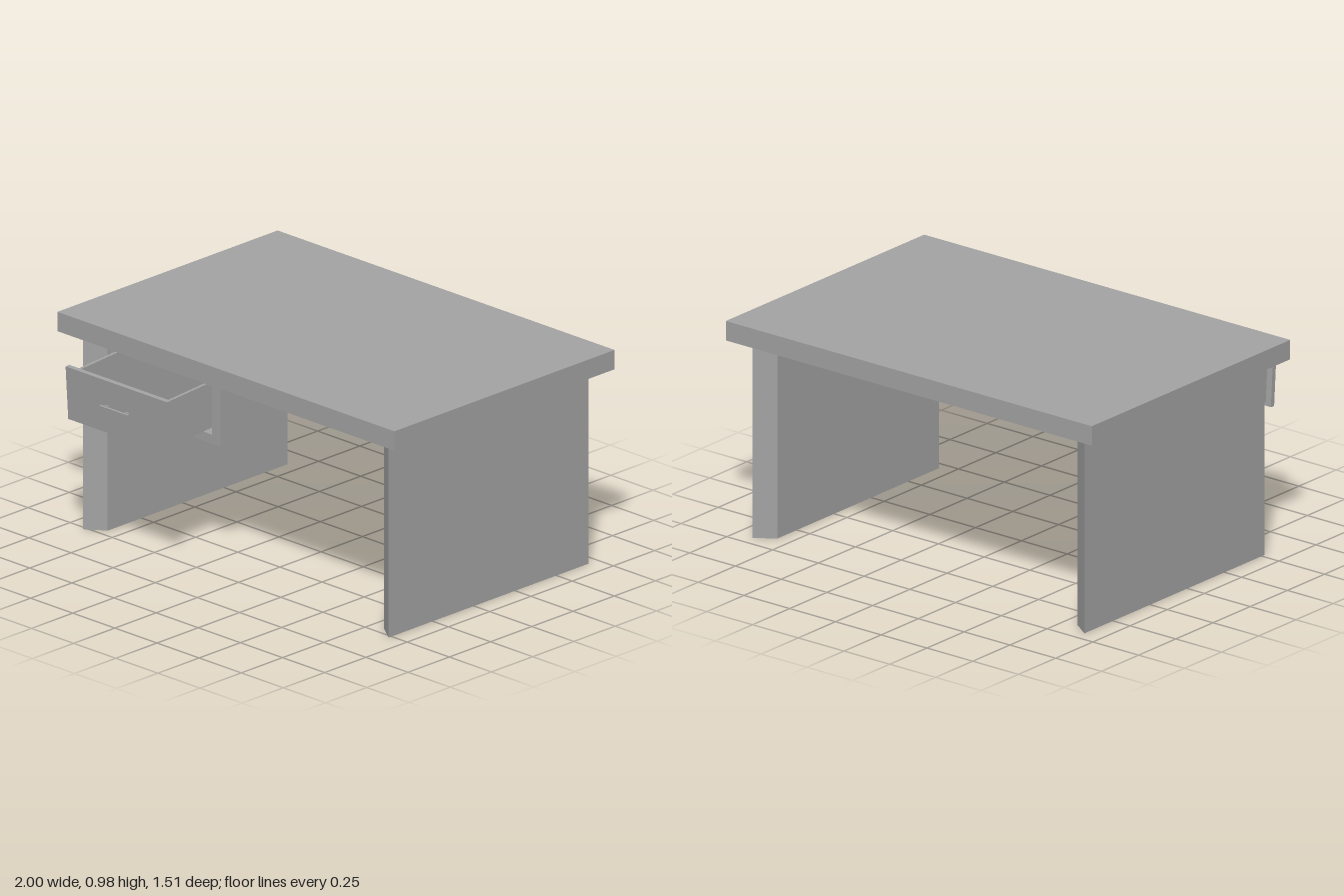
import * as THREE from 'three';

const material = new THREE.MeshStandardMaterial({ color: 0xa3a3a3, flatShading: true });

// Box given by its [min, max] range on each axis
function box(name, [x0, x1], [y0, y1], [z0, z1]) {
  const mesh = new THREE.Mesh(new THREE.BoxGeometry(x1 - x0, y1 - y0, z1 - z0), material);
  mesh.position.set((x0 + x1) / 2, (y0 + y1) / 2, (z0 + z1) / 2);
  mesh.name = name;
  return mesh;
}

// Side panel whose front and back edges slant in towards the knee space
function sidePanel(name, side) {
  const outline = [[0.907, -0.517], [0.907, 0.693], [0.82, 0.632], [0.82, -0.456]];
  const shape = new THREE.Shape(outline.map(([x, y]) => new THREE.Vector2(side * x, y)));
  const geometry = new THREE.ExtrudeGeometry(shape, { depth: 0.892, bevelEnabled: false });
  geometry.rotateX(-Math.PI / 2);
  const mesh = new THREE.Mesh(geometry, material);
  mesh.name = name;
  return mesh;
}

// Counter-clockwise rectangle corners
function corners([x0, x1], [y0, y1]) {
  return [[x0, y0], [x1, y0], [x1, y1], [x0, y1]].map(([x, y]) => new THREE.Vector2(x, y));
}

// Hollow housing, open to the front and closed by a back board
function createHousing() {
  const housing = new THREE.Group();
  housing.name = 'drawerHousing';
  const xs = [-0.82, -0.164], ys = [0.557, 0.892];
  const shape = new THREE.Shape(corners(xs, ys));
  shape.holes.push(new THREE.Path(corners([-0.775, -0.213], [0.598, 0.832])));
  const frame = new THREE.Mesh(
    new THREE.ExtrudeGeometry(shape, { depth: 0.293, bevelEnabled: false }), material);
  frame.position.z = 0.15;
  frame.name = 'housingFrame';
  housing.add(frame, box('housingBack', xs, ys, [0.135, 0.15]));
  return housing;
}

// Open drawer, built around the centre of its front panel
function createDrawer() {
  const drawer = new THREE.Group();
  drawer.name = 'drawer';
  const w = 0.272, h = 0.104, t = 0.014, back = -0.318, front = -0.011;
  drawer.add(
    box('drawerFront', [-0.301, 0.301], [-0.122, 0.122], [front, 0.011]),
    box('drawerBottom', [-w, w], [-h, -h + t], [back, front]),
    box('drawerBack', [-w + t, w - t], [-h + t, h], [back, back + t]),
  );
  for (const side of [-1, 1]) {
    const x = side * (w - t / 2);
    drawer.add(box('drawerSide', [x - t / 2, x + t / 2], [-h + t, h], [back, front]));
  }

  // Pull handle: bar on two short posts
  const handle = new THREE.Group();
  handle.name = 'handle';
  handle.position.y = -0.003;
  handle.add(box('handleBar', [-0.084, 0.084], [-0.013, 0.013], [0.027, 0.037]));
  for (const x of [-0.06, 0.06]) {
    handle.add(
      box('handlePost', [x - 0.005, x + 0.005], [-0.005, 0.005], [0.018, 0.027]),
      box('handleFoot', [x - 0.01, x + 0.01], [-0.011, 0.011], [0.011, 0.018]),
    );
  }
  drawer.add(handle);

  // Pulled out and sagging slightly forward
  drawer.position.set(-0.494, 0.711, 0.718);
  drawer.rotation.x = 0.066;
  return drawer;
}

export function createModel() {
  const desk = new THREE.Group();
  desk.name = 'desk';
  desk.add(
    box('desktop', [-1, 1], [0.892, 0.98], [-0.757, 0.577]),
    sidePanel('leftPanel', 1),
    sidePanel('rightPanel', -1),
    createHousing(),
    createDrawer(),
  );
  return desk;
}
